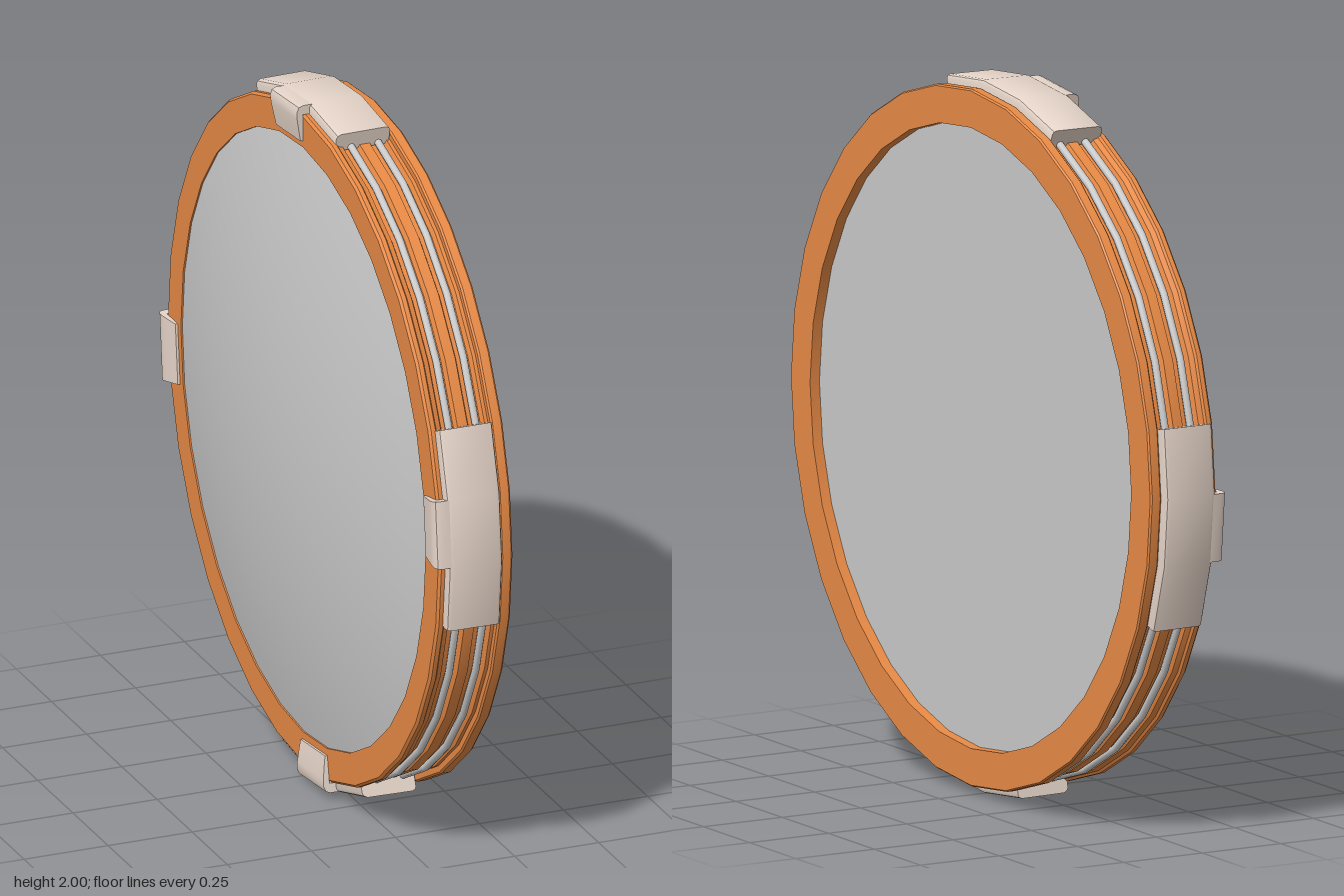
import * as THREE from 'three';
import { toCreasedNormals } from 'three/addons/utils/BufferGeometryUtils.js';

const SIDES = 32;
const STEP = (Math.PI * 2) / SIDES;

const material = (color) => new THREE.MeshStandardMaterial({ color, side: THREE.DoubleSide });
const wood = material(0xe88a45);
const metal = material(0xe6d5c9);
const grey = material(0xcccccc);

function addMesh(parent, name, geometry, mat) {
  const mesh = new THREE.Mesh(geometry, mat);
  mesh.name = name;
  parent.add(mesh);
  return mesh;
}

// Revolve a profile of [x, radius] points around the x axis
function revolve(profile, segments = SIDES, start = 0) {
  const points = profile.map(([x, r]) => new THREE.Vector2(r, x));
  const geometry = new THREE.LatheGeometry(points, segments, start, segments * STEP);
  geometry.rotateZ(-Math.PI / 2);
  return toCreasedNormals(geometry, 0.6);
}

// Revolved segment of a closed profile, with flat end caps
function addArc(parent, name, profile, segments, start) {
  const arc = new THREE.Group();
  arc.name = name;
  addMesh(arc, name + 'Body', revolve([...profile, profile[0]], segments, start), metal);
  const shape = new THREE.Shape(profile.map(([x, r]) => new THREE.Vector2(r, x)));
  for (const angle of [start, start + segments * STEP]) {
    const cap = new THREE.ShapeGeometry(shape);
    cap.rotateY(angle - Math.PI / 2).rotateZ(-Math.PI / 2);
    addMesh(arc, name + 'End', cap, metal);
  }
  parent.add(arc);
}

export function createModel() {
  const model = new THREE.Group();
  model.name = 'roundFrame';
  const disc = new THREE.Group();
  disc.name = 'disc';
  disc.position.y = 1;
  model.add(disc);

  // Frame ring with a grooved rim and a wider flange on the flat side
  addMesh(disc, 'frameRing', revolve([
    [-0.065, 0.87], [-0.065, 0.96], [-0.058, 0.967], [-0.045, 0.967], [-0.04, 0.96],
    [-0.025, 0.955], [-0.018, 0.94], [0.018, 0.94], [0.025, 0.955], [0.055, 0.955],
    [0.062, 0.94], [0.098, 0.94], [0.105, 0.955], [0.115, 0.955], [0.115, 0.972],
    [0.12, 0.977], [0.145, 0.977], [0.15, 0.973], [0.15, 0.87], [-0.065, 0.87],
  ]), wood);

  // Flat pane on one side, shallow dome on the other
  addMesh(disc, 'flatPane', revolve([[0.12, 0.872], [0.12, 0]]), grey);
  const dome = [];
  for (let i = 0; i <= 12; i++) {
    const r = (0.872 * i) / 12;
    dome.push([-0.155 + 0.095 * (r / 0.872) ** 2, r]);
  }
  addMesh(disc, 'dome', revolve(dome), grey);

  // Two wires lying in the rim grooves
  for (const x of [0, 0.08]) {
    const wire = new THREE.TorusGeometry(0.952, 0.011, 8, SIDES);
    wire.rotateY(Math.PI / 2).translate(x, 0, 0);
    addMesh(disc, 'wire', wire, grey);
  }

  // Four clips around the rim, each with a hook gripping the domed side
  const clipProfile = [
    [-0.047, 0.945], [-0.047, 0.985], [-0.043, 0.993], [-0.033, 0.998], [0.1, 1],
    [0.108, 0.997], [0.112, 0.99], [0.112, 0.945],
  ];
  const hookProfile = [
    [-0.066, 0.89], [-0.073, 0.89], [-0.078, 0.92], [-0.083, 0.955], [-0.084, 0.975],
    [-0.078, 0.99], [-0.065, 0.995], [-0.035, 0.995], [-0.035, 0.968], [-0.066, 0.968],
  ];
  for (let i = 0; i < 4; i++) {
    const clip = new THREE.Group();
    clip.name = 'rimClip';
    clip.rotation.x = (i * Math.PI) / 2;
    addArc(clip, 'clipPlate', clipProfile, 3, -2 * STEP);
    addArc(clip, 'clipHook', hookProfile, 1, -STEP);
    disc.add(clip);
  }
  return model;
}
